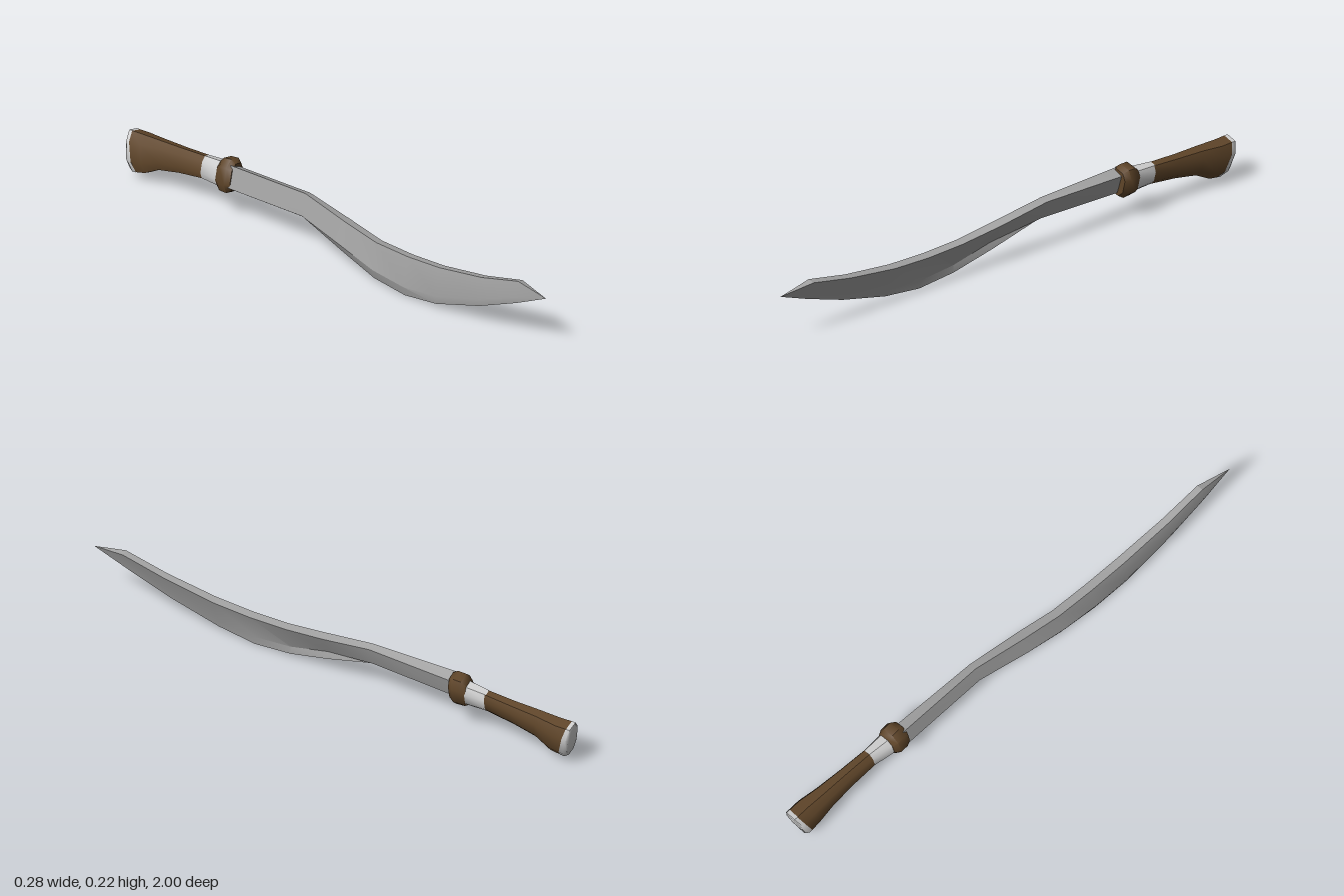
import * as THREE from 'three';
import { toCreasedNormals } from 'three/addons/utils/BufferGeometryUtils.js';

const steel = new THREE.MeshStandardMaterial({ color: 0xa2a2a2 });
steel.name = 'blade steel';
const silver = new THREE.MeshStandardMaterial({ color: 0xcecece });
silver.name = 'pale silver';
const wood = new THREE.MeshStandardMaterial({ color: 0x5f4529 });
wood.name = 'brown wood';

// Skin a list of rings (counter-clockwise from +z, z rising) and cap both ends.
function loft(name, rings, material, crease) {
  const n = rings[0].length, last = rings.length - 1, index = [];
  for (let i = 0; i < last; i++) {
    for (let j = 0; j < n; j++) {
      const k = (j + 1) % n;
      const a = i * n + j, b = i * n + k, c = b + n, d = a + n;
      index.push(a, b, c, a, c, d);
    }
  }
  for (let j = 1; j < n - 1; j++) {
    index.push(0, j + 1, j, last * n, last * n + j, last * n + j + 1);
  }
  const geometry = new THREE.BufferGeometry();
  geometry.setAttribute('position', new THREE.Float32BufferAttribute(rings.flat(2), 3));
  geometry.setIndex(index);
  const mesh = new THREE.Mesh(toCreasedNormals(geometry, crease), material);
  mesh.name = name;
  return mesh;
}

// Rolled, chamfered eight-sided ring; slant leans the ring back with height.
function octagon([z, cx, cy, a, b, slant = 0]) {
  const roll = -0.24, c = Math.cos(roll), s = Math.sin(roll);
  const corners = [[1, -0.5], [1, 0.5], [0.5, 1], [-0.5, 1], [-1, 0.5], [-1, -0.5], [-0.5, -1], [0.5, -1]];
  return corners.map(([u, v]) => {
    const x = u * a, y = v * b;
    const dy = x * s + y * c;
    return [cx + x * c - y * s, cy + dy, z - slant * dy];
  });
}

export function createModel() {
  const sword = new THREE.Group();
  sword.name = 'curvedSword';

  // Blade stations: z, then spine (+x, -x), bevel line (-x), edge, bevel line (+x)
  const stations = [
    [-0.52, 0.063, 0.187, 0.021, 0.205, 0.000, 0.125, 0.020, 0.117, 0.041, 0.113],
    [-0.16, 0.025, 0.200, -0.004, 0.209, -0.023, 0.127, -0.013, 0.120, -0.004, 0.124],
    [0.04, -0.005, 0.168, -0.041, 0.174, -0.066, 0.090, -0.050, 0.058, -0.056, 0.085],
    [0.20, -0.035, 0.145, -0.068, 0.150, -0.090, 0.050, -0.080, 0.015, -0.080, 0.045],
    [0.35, -0.052, 0.142, -0.085, 0.147, -0.108, 0.035, -0.100, 0.001, -0.097, 0.032],
    [0.50, -0.068, 0.150, -0.100, 0.155, -0.122, 0.050, -0.118, 0.020, -0.110, 0.047],
    [0.70, -0.090, 0.180, -0.118, 0.184, -0.135, 0.105, -0.131, 0.077, -0.124, 0.103],
    [0.87, -0.105, 0.220, -0.130, 0.225, -0.140, 0.165, -0.138, 0.143, -0.131, 0.163],
    [1.00, -0.140, 0.200, -0.140, 0.200, -0.140, 0.200, -0.140, 0.200, -0.140, 0.200],
  ];
  const bladeRings = stations.map(([z, ...p]) =>
    [0, 2, 4, 6, 8].map((i) => [p[i], p[i + 1], z]));
  sword.add(loft('blade', bladeRings, steel, 0.4));

  // Handle parts: rows of z, centre x, centre y, half width, half height, slant
  const parts = [
    ['guard', wood, 0.9, [
      [-0.565, 0.045, 0.150, 0.034, 0.046],
      [-0.547, 0.042, 0.154, 0.044, 0.060],
      [-0.515, 0.041, 0.155, 0.044, 0.062],
      [-0.495, 0.038, 0.156, 0.034, 0.050],
    ]],
    ['ferrule', silver, 0.9, [
      [-0.645, 0.056, 0.145, 0.025, 0.041],
      [-0.560, 0.046, 0.149, 0.034, 0.045],
    ]],
    ['grip', wood, 0.9, [
      [-0.965, 0.085, 0.099, 0.043, 0.071, 0.28],
      [-0.920, 0.084, 0.104, 0.042, 0.067, 0.25],
      [-0.850, 0.076, 0.122, 0.034, 0.053, 0.1],
      [-0.750, 0.067, 0.134, 0.028, 0.045],
      [-0.640, 0.056, 0.145, 0.025, 0.041],
    ]],
    ['pommel', silver, 1.0, [
      [-0.988, 0.086, 0.098, 0.036, 0.062, 0.2],
      [-0.978, 0.086, 0.098, 0.043, 0.072, 0.28],
      [-0.962, 0.085, 0.099, 0.043, 0.071, 0.28],
    ]],
  ];
  for (const [name, material, crease, rows] of parts) {
    sword.add(loft(name, rows.map(octagon), material, crease));
  }
  return sword;
}
